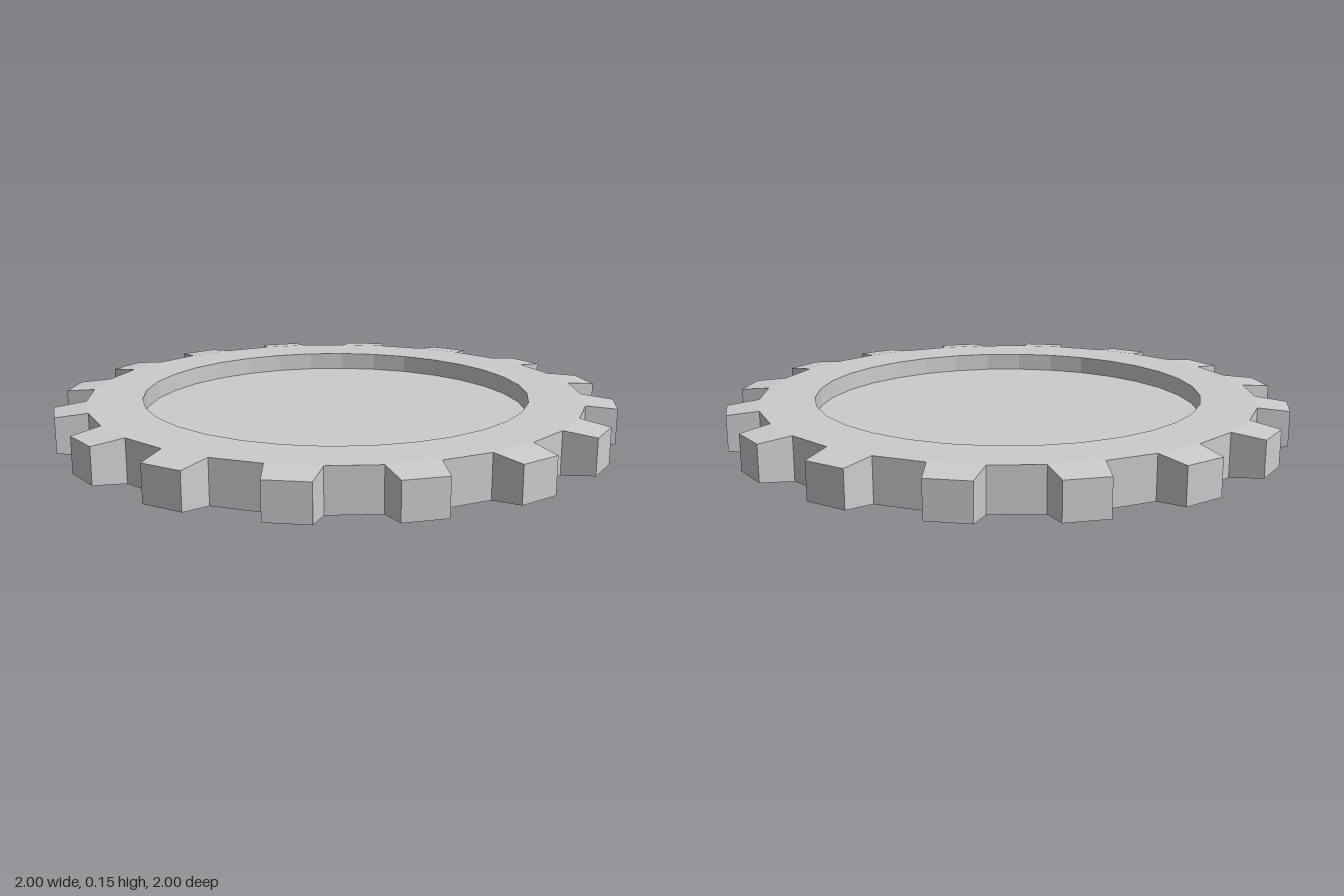
import * as THREE from 'three';

const TEETH = 16;
const SIDES = TEETH * 2;
const RADIUS = 0.89;
const HEIGHT = 0.15;
const TIP = 0.9973; // distance from the axis to a tooth's end face
const TAPER = 0.84; // end face size relative to the tooth's root

const material = new THREE.MeshStandardMaterial({ color: 0xcccccc, flatShading: true });

// Block that grows outward along +z from one side of the disc and tapers
function toothGeometry() {
  const half = Math.PI / SIDES;
  const root = RADIUS * Math.cos(half);
  const width = 2 * RADIUS * Math.sin(half);
  const geometry = new THREE.BoxGeometry(width, HEIGHT, TIP - root);
  const p = geometry.attributes.position;
  for (let i = 0; i < p.count; i++) {
    if (p.getZ(i) > 0) p.setXY(i, p.getX(i) * TAPER, p.getY(i) * TAPER);
  }
  geometry.translate(0, HEIGHT / 2, (root + TIP) / 2);
  geometry.computeVertexNormals();
  return geometry;
}

export function createModel() {
  const gear = new THREE.Group();
  gear.name = 'gear';

  // Disc with a flat base, raised rim and shallow round recess
  const profile = [
    [0, 0], [RADIUS, 0], [RADIUS, HEIGHT], [0.695, HEIGHT], [0.695, 0.085], [0, 0.085],
  ].map(([x, y]) => new THREE.Vector2(x, y));
  const discGeometry = new THREE.LatheGeometry(profile, SIDES).toNonIndexed();
  discGeometry.computeVertexNormals();
  const disc = new THREE.Mesh(discGeometry, material);
  disc.name = 'disc';
  gear.add(disc);

  // One tooth on every second side
  const geometry = toothGeometry();
  const teeth = new THREE.Group();
  teeth.name = 'teeth';
  for (let i = 0; i < TEETH; i++) {
    const tooth = new THREE.Mesh(geometry, material);
    tooth.name = 'tooth';
    tooth.rotation.y = (2 * i - 0.5) * (2 * Math.PI / SIDES);
    teeth.add(tooth);
  }
  gear.add(teeth);

  return gear;
}
